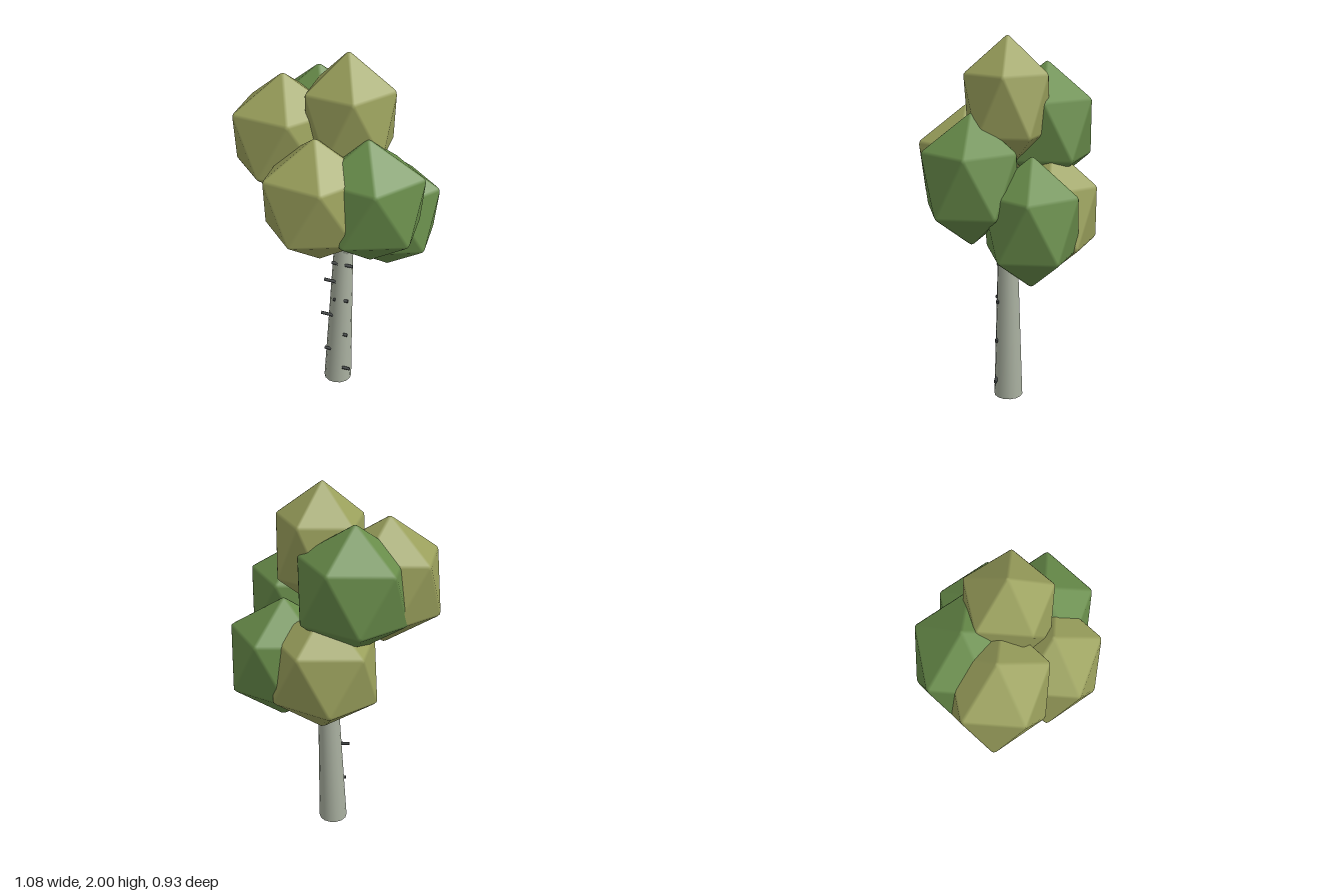
import * as THREE from 'three';
import { ConvexGeometry } from 'three/addons/geometries/ConvexGeometry.js';

const mat = (color) => new THREE.MeshStandardMaterial({ color });

// Icosahedron standing on a corner, with softly bevelled edges and corners
function roundedIcosahedron() {
  const ring = (i, y, turn) => {
    const a = (i * 72 + turn) * Math.PI / 180, r = Math.sqrt(0.8);
    return new THREE.Vector3(Math.cos(a) * r, y, Math.sin(a) * r);
  };
  const h = Math.sqrt(0.2);
  const top = new THREE.Vector3(0, 1, 0), bottom = new THREE.Vector3(0, -1, 0);
  const faces = [], corners = [top, bottom];
  for (let i = 0; i < 5; i++) {
    const u = ring(i, h, 0), u2 = ring(i + 1, h, 0);
    const l = ring(i, -h, 36), l2 = ring(i + 1, -h, 36);
    faces.push([top, u, u2], [u, u2, l], [l, l2, u2], [bottom, l, l2]);
    corners.push(u, l);
  }
  // Inset face corners carry the face normal, so the bevels shade smoothly
  const points = [], normals = [];
  for (const f of faces) {
    const c = new THREE.Vector3().add(f[0]).add(f[1]).add(f[2]).divideScalar(3);
    for (const v of f) {
      points.push(v.clone().lerp(c, 0.1));
      normals.push(c.clone().normalize());
    }
  }
  for (const v of corners) {
    points.push(v.clone().multiplyScalar(0.982));
    normals.push(v.clone());
  }
  const geo = new ConvexGeometry(points);
  const pos = geo.attributes.position, nor = geo.attributes.normal;
  const p = new THREE.Vector3();
  for (let i = 0; i < pos.count; i++) {
    p.fromBufferAttribute(pos, i);
    let best = 0;
    points.forEach((q, k) => {
      if (q.distanceToSquared(p) < points[best].distanceToSquared(p)) best = k;
    });
    nor.setXYZ(i, normals[best].x, normals[best].y, normals[best].z);
  }
  return geo.scale(1 / 0.982, 1 / 0.982, 1 / 0.982);
}

// Tapered round limb from point a to point b
function limb(name, a, b, r0, r1, material, sides = 12) {
  const from = new THREE.Vector3(...a), to = new THREE.Vector3(...b);
  const dir = to.clone().sub(from);
  const mesh = new THREE.Mesh(new THREE.CylinderGeometry(r1, r0, dir.length(), sides), material);
  mesh.position.copy(from).add(to).multiplyScalar(0.5);
  mesh.quaternion.setFromUnitVectors(new THREE.Vector3(0, 1, 0), dir.normalize());
  mesh.name = name;
  return mesh;
}

export function createModel() {
  const tree = new THREE.Group();
  tree.name = 'tree';
  const bark = mat(0xa9b0a0), dark = mat(0x3c4040);
  const olive = mat(0x9aa05c), green = mat(0x688c4a);

  // Trunk: a slightly leaning, tapering stack of rings
  const trunkGeo = new THREE.CylinderGeometry(0.052, 0.079, 0.9, 14, 6);
  const tp = trunkGeo.attributes.position;
  for (let i = 0; i < tp.count; i++) {
    const t = tp.getY(i) / 0.9 + 0.5;
    tp.setX(i, tp.getX(i) + 0.025 + 0.03 * t);
  }
  trunkGeo.translate(0, 0.45, 0);
  const trunk = new THREE.Mesh(trunkGeo, bark);
  trunk.name = 'trunk';
  tree.add(trunk);

  // Branches fork from the trunk into the crown
  const fork = [0.055, 0.86, 0];
  [
    [0.06, 1.5, 0, 0.05],
    [0.2, 1.25, 0.12, 0.042],
    [0.2, 1.1, -0.12, 0.042],
    [0.02, 1.1, -0.16, 0.042],
    [-0.2, 1.4, -0.02, 0.042],
  ].forEach(([x, y, z, r]) => tree.add(limb('branch', fork, [x, y, z], r, r * 0.6, bark)));

  // Short dark bark marks: centre x, y, z and length
  const marks = [
    [-0.005, 0.925, 0.045, 0.07], [0.018, 0.81, 0.045, 0.035],
    [-0.008, 0.695, 0.05, 0.065], [0.02, 0.58, 0.063, 0.01],
    [-0.022, 0.465, 0.05, 0.075], [-0.018, 0.23, 0.058, 0.04],
    [0.096, 0.805, 0.045, 0.045], [0.084, 0.575, 0.053, 0.024],
    [0.083, 0.345, 0.06, 0.024], [0.09, 0.108, 0.064, 0.045],
  ];
  for (const [x, y, z, len] of marks) {
    const d = len / 2;
    tree.add(limb('barkMark', [x - d, y + d * 0.1, z], [x + d, y - d * 0.1, z], 0.009, 0.009, dark, 8));
  }

  // Leaf clumps: centre, radius scale in x and z, material
  const leafGeo = roundedIcosahedron();
  const wide = [0.315, 0.277];
  [
    [0.085, 1.66, 0, [0.262, 0.248], olive, 'topLeaves'],
    [-0.26, 1.51, -0.02, wide, olive, 'sideLeaves'],
    [-0.12, 1.51, -0.19, wide, green, 'upperBackLeaves'],
    [-0.025, 1.29, 0.228, wide, olive, 'frontLeaves'],
    [0.23, 1.29, 0.17, wide, green, 'frontSideLeaves'],
    [0.258, 1.08, -0.14, wide, green, 'backSideLeaves'],
    [0.02, 1.08, -0.228, wide, olive, 'lowerBackLeaves'],
  ].forEach(([x, y, z, [sx, sz], material, name]) => {
    const leaves = new THREE.Mesh(leafGeo, material);
    leaves.name = name;
    leaves.position.set(x, y, z);
    leaves.scale.set(sx, 0.34, sz);
    leaves.rotation.z = 0.03;
    tree.add(leaves);
  });
  return tree;
}
